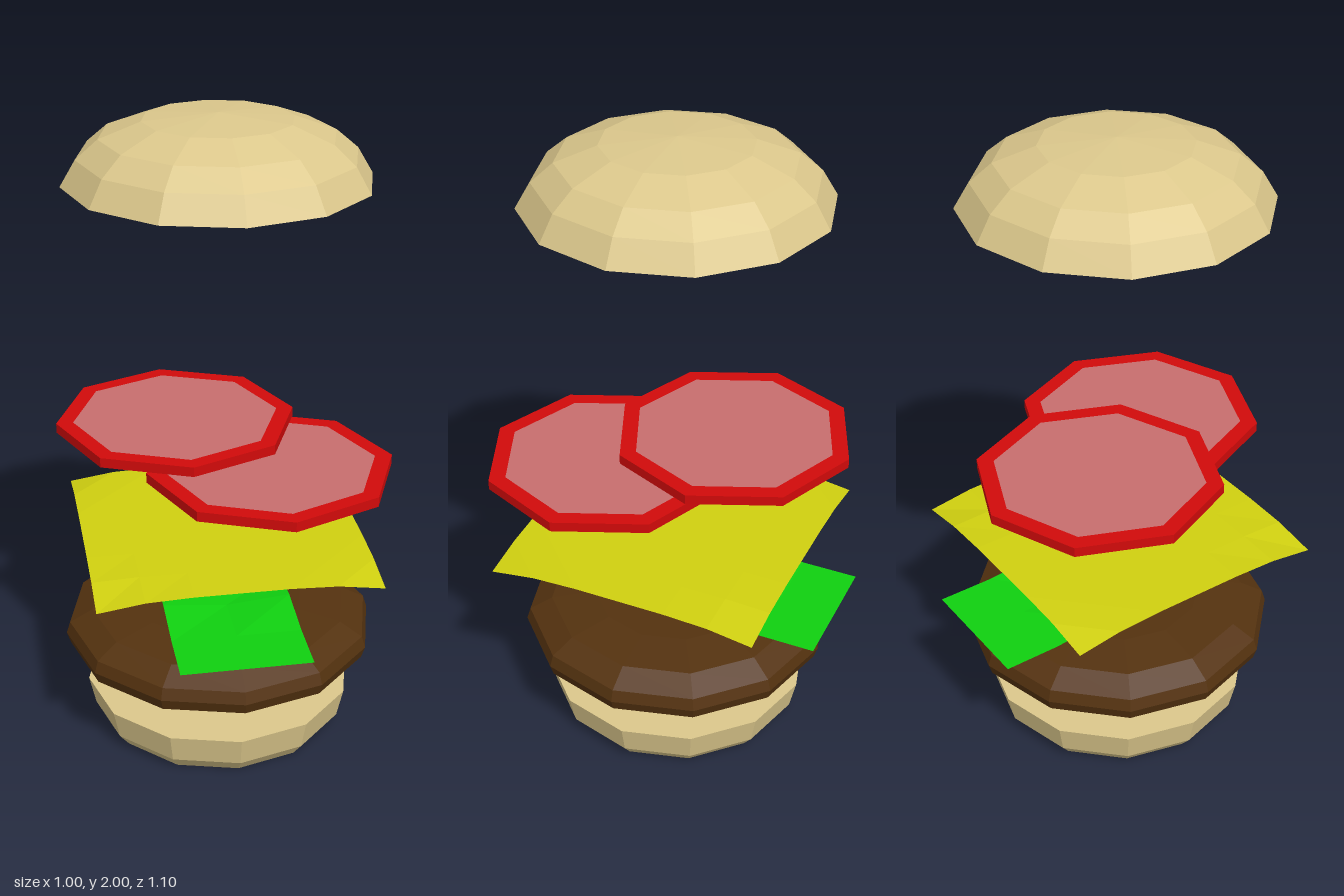
import * as THREE from 'three';

const mat = (color, side = THREE.FrontSide) =>
  new THREE.MeshStandardMaterial({ color, flatShading: true, side });

const BUN = mat(0xdcc88c), PATTY = mat(0x54320f);
const RED = mat(0xd20a0a), PINK = mat(0xc86e6e);
const GREEN = mat(0x10d010, THREE.DoubleSide), YELLOW = mat(0xd0d010, THREE.DoubleSide);

const C = -0.005; // shared centre of the stacked round parts

export function createModel() {
  const model = new THREE.Group();
  model.name = 'explodedBurger';

  function add(parent, name, geometry, material, x = 0, y = 0, z = 0) {
    const mesh = new THREE.Mesh(geometry, material);
    mesh.name = name;
    mesh.position.set(x, y, z);
    parent.add(mesh);
    return mesh;
  }

  // Twelve-sided turned solid from [radius, height] pairs, bottom to top
  function turned(name, profile, material) {
    const points = profile.map(([r, y]) => new THREE.Vector2(r, y));
    add(model, name, new THREE.LatheGeometry(points, 12), material, C, 0, C);
  }

  turned('bottomBun', [[0, 0], [0.375, 0], [0.41, 0.045], [0.431, 0.14], [0, 0.14]], BUN);

  turned('patty', [
    [0, 0.223], [0.27, 0.223], [0.412, 0.243], [0.485, 0.285], [0.497, 0.322],
    [0.485, 0.36], [0.412, 0.4], [0.27, 0.416], [0, 0.416],
  ], PATTY);

  turned('topBun', [
    [0, 1.803], [0.458, 1.803], [0.412, 1.88], [0.346, 1.936], [0.222, 1.982], [0, 2],
  ], BUN);

  // Thin sheet whose height follows a rule
  function sheet(name, w, d, nx, nz, height, material, x) {
    const g = new THREE.PlaneGeometry(w, d, nx, nz).rotateX(-Math.PI / 2);
    const p = g.attributes.position;
    for (let i = 0; i < p.count; i++) p.setY(i, height(p.getX(i), p.getZ(i)));
    g.computeVertexNormals();
    add(model, name, g, material, x, 0, C);
  }

  // Lettuce: long edges lifted at two ripples
  sheet('lettuce', 0.4, 1.09, 2, 6, (x, z) => {
    const ripple = Math.abs(Math.abs(z) - 0.18) < 0.05 && Math.abs(x) > 0.1;
    return ripple ? 0.503 : 0.484;
  }, GREEN, -0.01);

  // Cheese: flat slice with drooping corners
  sheet('cheese', 0.868, 0.868, 6, 6, (x, z) => {
    const t = Math.max(0, (Math.abs(x) + Math.abs(z) - 0.6) / 0.268);
    return 0.675 - 0.027 * t * t;
  }, YELLOW, C);

  // Tomato slices: red skin and base, pink inset on top
  function tomato(name, x, y, z) {
    const R = 0.378, r = 0.325, h = 0.031;
    const slice = new THREE.Group();
    slice.name = name;
    slice.position.set(x, y, z);
    model.add(slice);
    const skin = [[0, 0], [R, 0], [R, h], [r, h]].map(([a, b]) => new THREE.Vector2(a, b));
    add(slice, 'tomatoSkin', new THREE.LatheGeometry(skin, 8), RED);
    add(slice, 'tomatoFlesh', new THREE.CircleGeometry(r, 8).rotateX(-Math.PI / 2), PINK, 0, h, 0);
  }
  tomato('lowerTomato', 0.124, 0.934, 0.174);
  tomato('upperTomato', -0.118, 0.968, -0.149);

  return model;
}
